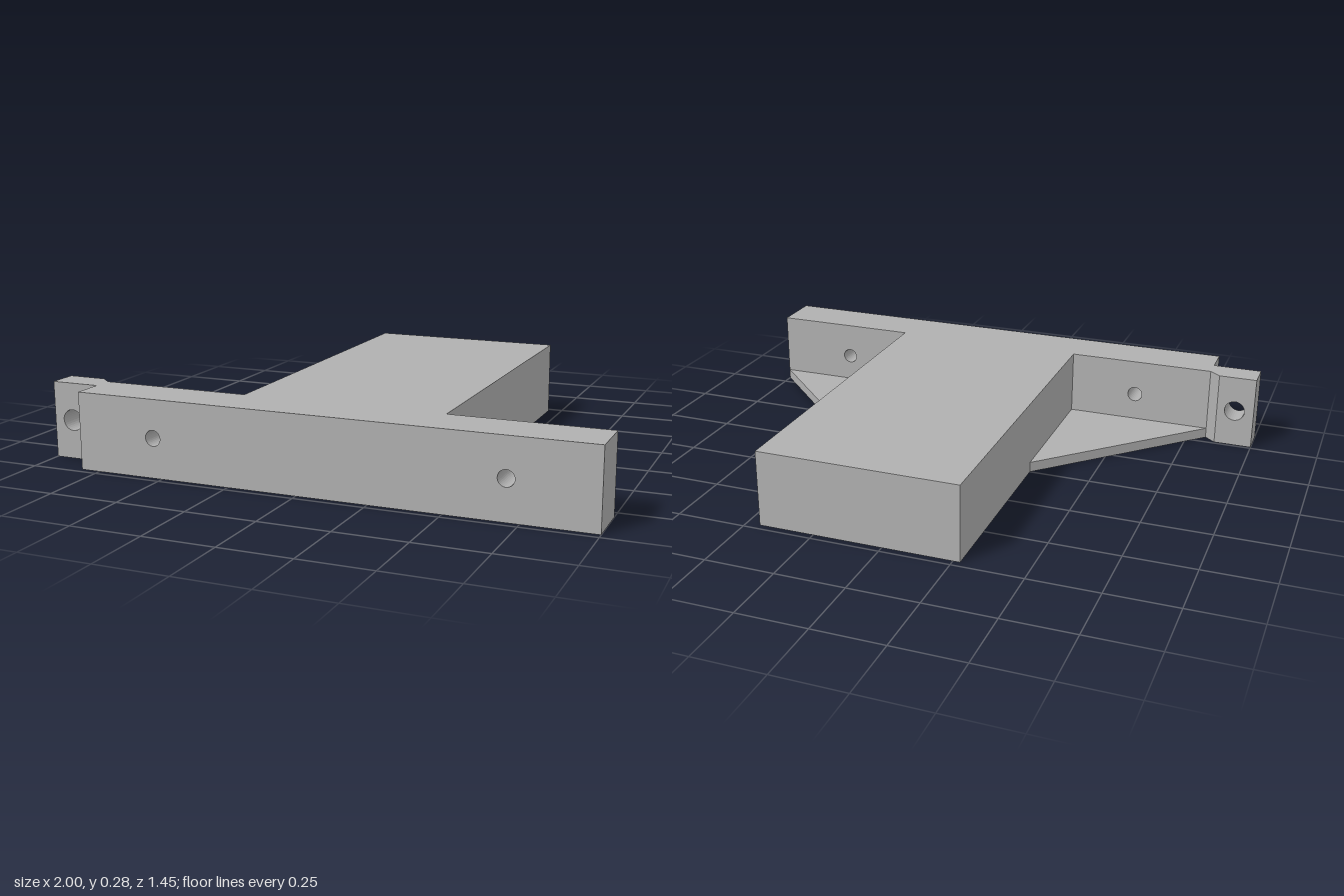
import * as THREE from 'three';

const HEIGHT = 0.275;

// Upright plate facing z, with round through-holes given as [x, y, radius]
function drilledPlate(x0, x1, z0, z1, holes) {
  const shape = new THREE.Shape([
    new THREE.Vector2(x0, 0), new THREE.Vector2(x1, 0),
    new THREE.Vector2(x1, HEIGHT), new THREE.Vector2(x0, HEIGHT),
  ]);
  for (const [x, y, r] of holes) {
    shape.holes.push(new THREE.Path().absarc(x, y, r, 0, Math.PI * 2, true));
  }
  return new THREE.ExtrudeGeometry(shape, { depth: z1 - z0, bevelEnabled: false, curveSegments: 16 })
    .translate(0, 0, z0);
}

// Plan outline of [x, z] points raised from the ground
function raisedPlan(points, height) {
  const shape = new THREE.Shape(points.map(([x, z]) => new THREE.Vector2(x, -z)));
  return new THREE.ExtrudeGeometry(shape, { depth: height, bevelEnabled: false })
    .rotateX(-Math.PI / 2);
}

export function createModel() {
  const group = new THREE.Group();
  const grey = new THREE.MeshStandardMaterial({ color: 0xb0b0b0 });
  grey.name = 'grey';

  const add = (name, geometry) => {
    const mesh = new THREE.Mesh(geometry, grey);
    mesh.name = name;
    group.add(mesh);
  };

  // Front crossbar with two screw holes
  add('crossbar', drilledPlate(-0.82, 1, 0.545, 0.725, [[-0.53, 0.14, 0.028], [0.705, 0.14, 0.028]]));

  // Solid stem running to the back
  add('stem', raisedPlan([[-0.275, -0.725], [0.45, -0.725], [0.45, 0.545], [-0.275, 0.545]], HEIGHT));

  // Thin triangular gussets on both sides of the stem
  add('rightGusset', raisedPlan([[-0.275, 0], [-0.82, 0.545], [-0.275, 0.545]], 0.038));
  add('leftGusset', raisedPlan([[0.45, 0], [1, 0.545], [0.45, 0.545]], 0.038));

  // Mounting tab with a larger hole, and its chamfered neck
  add('mountingTab', drilledPlate(-1, -0.86, 0.51, 0.615, [[-0.927, 0.14, 0.038]]));
  add('tabNeck', raisedPlan([[-0.86, 0.51], [-0.82, 0.545], [-0.82, 0.615], [-0.86, 0.615]], HEIGHT));

  return group;
}
